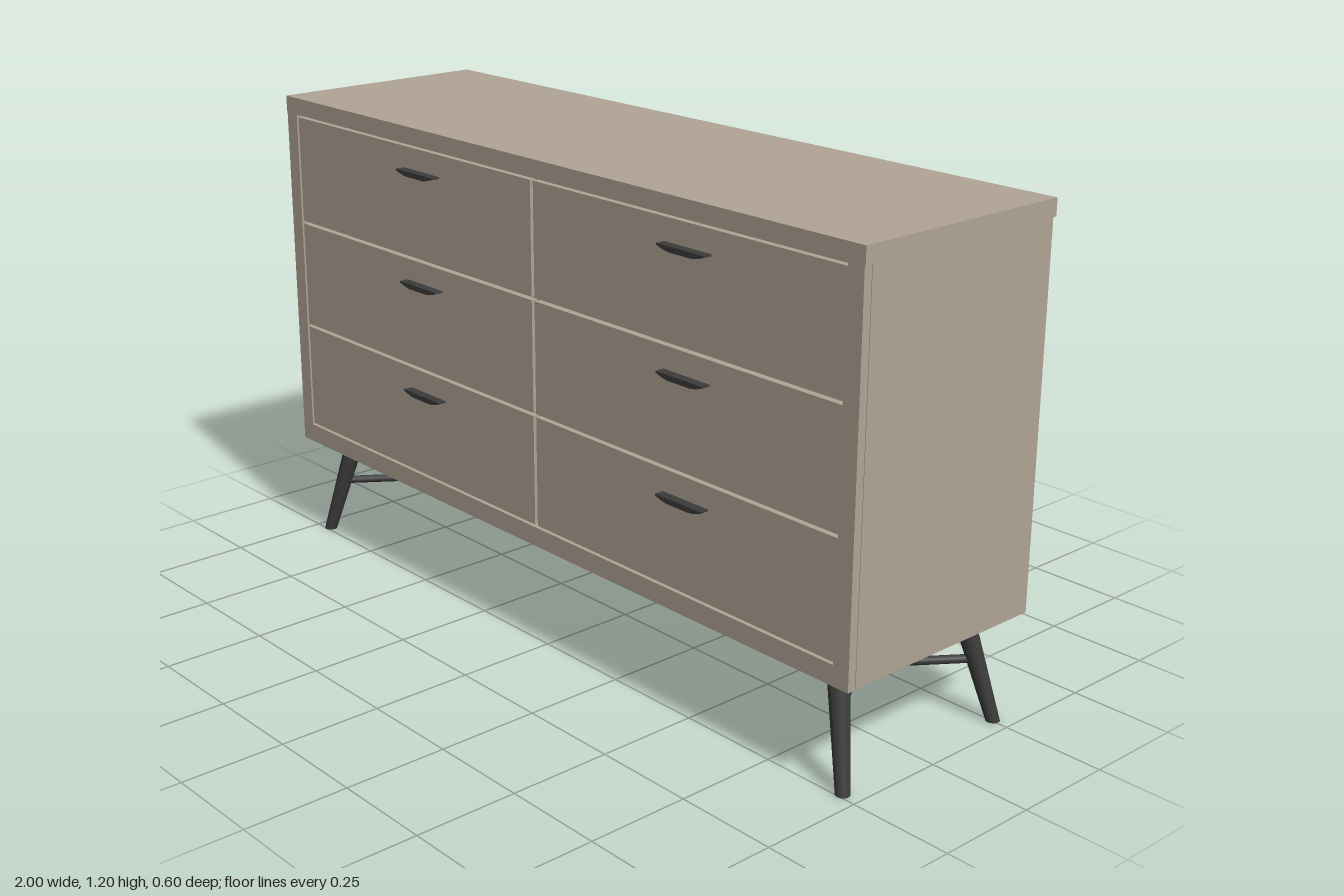
import * as THREE from 'three';

const wood = new THREE.MeshStandardMaterial({ color: 0xb0a494 });
wood.name = 'taupe wood';
const backing = new THREE.MeshStandardMaterial({ color: 0xc8c6c7 });
backing.name = 'pale grey backing';
const dark = new THREE.MeshStandardMaterial({ color: 0x3b3b3c });
dark.name = 'charcoal';

// Wooden box given by its extents, with a grey rear face
const woodWithGreyBack = [wood, wood, wood, wood, wood, backing];

export function createModel() {
  const group = new THREE.Group();

  function add(name, geometry, material) {
    const mesh = new THREE.Mesh(geometry, material);
    mesh.name = name;
    group.add(mesh);
    return mesh;
  }

  function box(name, x0, x1, y0, y1, z0, z1, material) {
    const mesh = add(name, new THREE.BoxGeometry(x1 - x0, y1 - y0, z1 - z0), material);
    mesh.position.set((x0 + x1) / 2, (y0 + y1) / 2, (z0 + z1) / 2);
    return mesh;
  }

  // Cabinet: top board, carcass and the recessed core behind the drawers
  box('topBoard', -1, 1, 1.16, 1.2, -0.3, 0.28, woodWithGreyBack);
  box('carcass', -0.995, 0.995, 0.265, 1.159, -0.297, 0.254, woodWithGreyBack);
  box('drawerCore', -0.97, 0.97, 0.3, 1.158, 0.2, 0.262, wood);

  // Front frame with one large opening
  const frame = new THREE.Shape([
    new THREE.Vector2(-0.998, 0.265), new THREE.Vector2(0.998, 0.265),
    new THREE.Vector2(0.998, 1.16), new THREE.Vector2(-0.998, 1.16),
  ]);
  frame.holes.push(new THREE.Path([
    new THREE.Vector2(-0.955, 0.313), new THREE.Vector2(-0.955, 1.157),
    new THREE.Vector2(0.955, 1.157), new THREE.Vector2(0.955, 0.313),
  ]));
  const frameGeometry = new THREE.ExtrudeGeometry(frame, { depth: 0.021, bevelEnabled: false });
  frameGeometry.translate(0, 0, 0.259);
  add('frontFrame', frameGeometry, wood);

  // Handle: flat top edge, shallow curved underside
  const grip = new THREE.Shape();
  grip.moveTo(-0.071, 0.008);
  grip.lineTo(-0.071, 0.004);
  grip.quadraticCurveTo(-0.045, -0.005, -0.03, -0.005);
  grip.lineTo(0.03, -0.005);
  grip.quadraticCurveTo(0.045, -0.005, 0.071, 0.004);
  grip.lineTo(0.071, 0.008);
  grip.closePath();
  const gripGeometry = new THREE.ExtrudeGeometry(grip, { depth: 0.025, bevelEnabled: false });

  // Six drawers in two columns, each with a handle
  for (let row = 0; row < 3; row++) {
    const y0 = 0.319 + row * 0.28;
    box('drawerFront', -0.949, -0.005, y0, y0 + 0.272, 0.25, 0.279, wood);
    box('drawerFront', 0.005, 0.954, y0, y0 + 0.272, 0.25, 0.279, wood);
    for (const x of [-0.419, 0.511]) {
      add('drawerHandle', gripGeometry, dark).position.set(x, 0.53 + row * 0.28, 0.277);
    }
  }

  // Splayed tapered leg: a cylinder sheared so both ends stay level
  const midZ = -0.008;
  function leg(sx, sz) {
    const geometry = new THREE.CylinderGeometry(0.026, 0.0165, 0.27, 20);
    geometry.applyMatrix4(new THREE.Matrix4().set(
      1, -sx * 0.26, 0, sx * 0.922,
      0, 1, 0, 0.135,
      0, -sz * 0.178, 1, midZ + sz * 0.222,
      0, 0, 0, 1));
    geometry.computeVertexNormals();
    add('leg', geometry, dark);
  }

  // Round bar between two points
  function bar(name, a, b) {
    const direction = b.clone().sub(a);
    const mesh = add(name, new THREE.CylinderGeometry(0.01, 0.01, direction.length(), 12), dark);
    mesh.position.copy(a).add(b).multiplyScalar(0.5);
    mesh.quaternion.setFromUnitVectors(new THREE.Vector3(0, 1, 0), direction.normalize());
  }

  // Legs, V-shaped side stretchers and the long centre stretcher
  const barY = 0.147;
  const joint = (sx) => new THREE.Vector3(sx * 0.76, barY, midZ);
  for (const sx of [-1, 1]) {
    for (const sz of [-1, 1]) {
      leg(sx, sz);
      bar('sideStretcher', new THREE.Vector3(sx * 0.915, barY, midZ + sz * 0.218), joint(sx));
    }
    add('stretcherJoint', new THREE.SphereGeometry(0.0115, 12, 8), dark).position.copy(joint(sx));
  }
  bar('centreStretcher', joint(-1), joint(1));

  return group;
}
